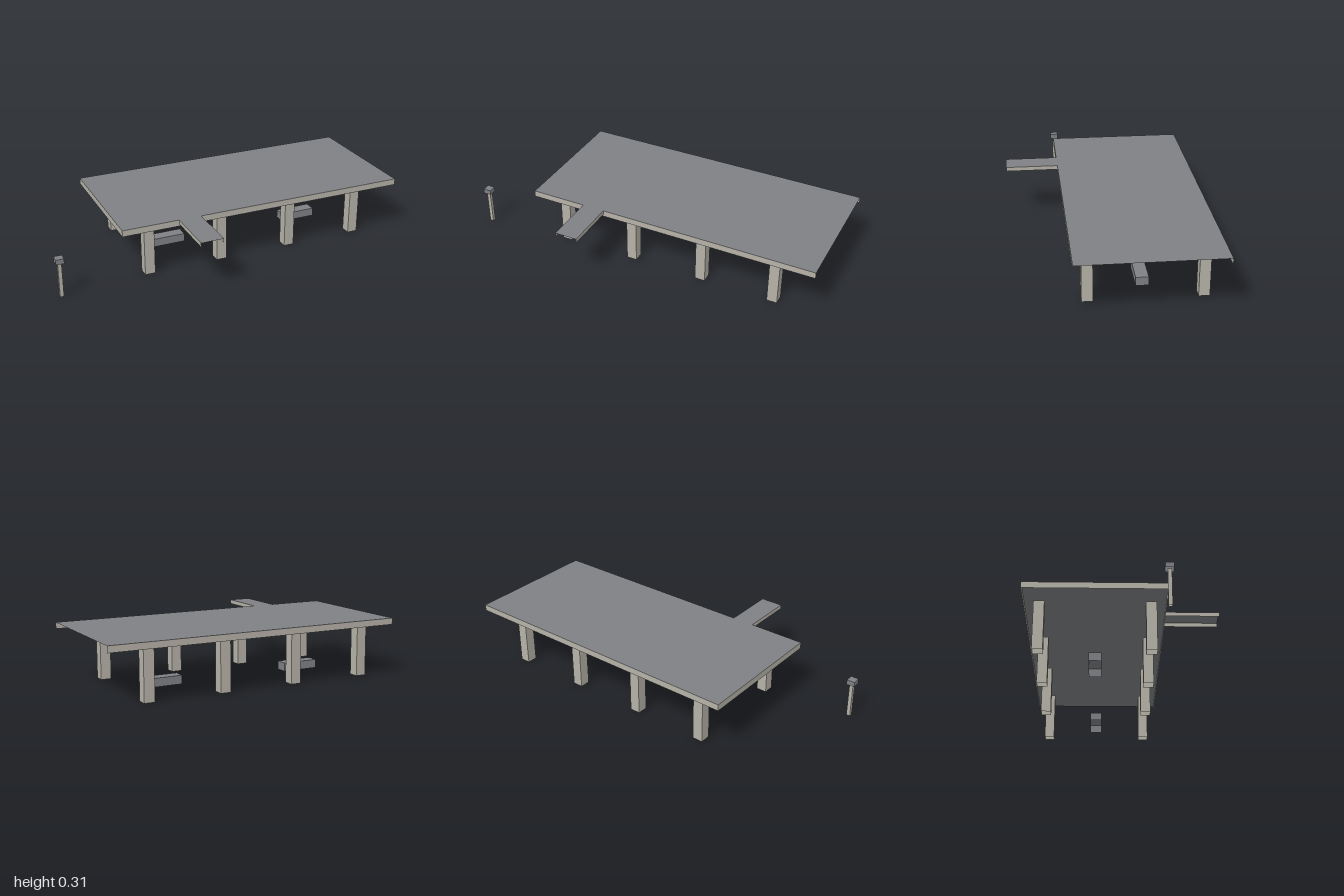
import * as THREE from 'three';

const concrete = new THREE.MeshStandardMaterial({ color: 0xb6b2a8, side: THREE.DoubleSide });
concrete.name = 'paleConcrete';
const slate = new THREE.MeshStandardMaterial({ color: 0x7f8084, side: THREE.DoubleSide });
slate.name = 'slateGrey';

// Thin-walled box spanning two corners; keeps only the listed faces.
const FACES = ['+x', '-x', '+y', '-y', '+z', '-z'];
function shell(name, material, [x0, y0, z0], [x1, y1, z1], keep) {
  const geo = new THREE.BoxGeometry(x1 - x0, y1 - y0, z1 - z0);
  const index = Array.from(geo.index.array);
  geo.setIndex(keep.flatMap((f) => {
    const start = FACES.indexOf(f) * 6;
    return index.slice(start, start + 6);
  }));
  geo.clearGroups();
  const mesh = new THREE.Mesh(geo, material);
  mesh.name = name;
  mesh.position.set((x0 + x1) / 2, (y0 + y1) / 2, (z0 + z1) / 2);
  return mesh;
}

const WALLS = ['+x', '-x', '+z', '-z'];
const LID = [...WALLS, '+y'];

export function createModel() {
  const model = new THREE.Group();
  model.name = 'raisedPlatform';

  // Deck: top sheet with a skirt, open at the +x end
  const deck = new THREE.Group();
  deck.name = 'deck';
  const d0 = [-0.645, 0.277, -0.52], d1 = [1, 0.312, 0.229];
  deck.add(shell('deckTop', slate, d0, d1, ['+y']));
  deck.add(shell('deckSkirt', concrete, d0, d1, ['-x', '+z', '-z']));
  model.add(deck);

  // Access walkway, open at its front end
  const walkway = new THREE.Group();
  walkway.name = 'walkway';
  const w0 = [-0.332, 0.289, 0.229], w1 = [-0.207, 0.312, 0.52];
  walkway.add(shell('walkwayTop', slate, w0, w1, ['+y']));
  walkway.add(shell('walkwaySkirt', concrete, w0, w1, ['+x', '-x']));
  model.add(walkway);

  // Two rows of hollow square columns
  const s = 0.0285;
  for (const z of [0.147, -0.436]) {
    for (let i = 0; i < 4; i++) {
      const x = -0.482 + i * 0.4165;
      model.add(shell('column', concrete, [x - s, 0, z - s], [x + s, 0.277, z + s], WALLS));
    }
  }

  // Benches between the columns
  for (const x of [-0.273, 0.561]) {
    model.add(shell('bench', slate, [x - 0.103, 0, -0.178], [x + 0.103, 0.047, -0.11], LID));
  }

  // Free-standing marker post with a cap
  const post = new THREE.Group();
  post.name = 'markerPost';
  post.add(shell('postShaft', concrete, [-0.988, 0, 0.199], [-0.968, 0.193, 0.219], WALLS));
  post.add(shell('postCap', slate, [-1, 0.193, 0.187], [-0.956, 0.221, 0.231], LID));
  model.add(post);

  return model;
}
